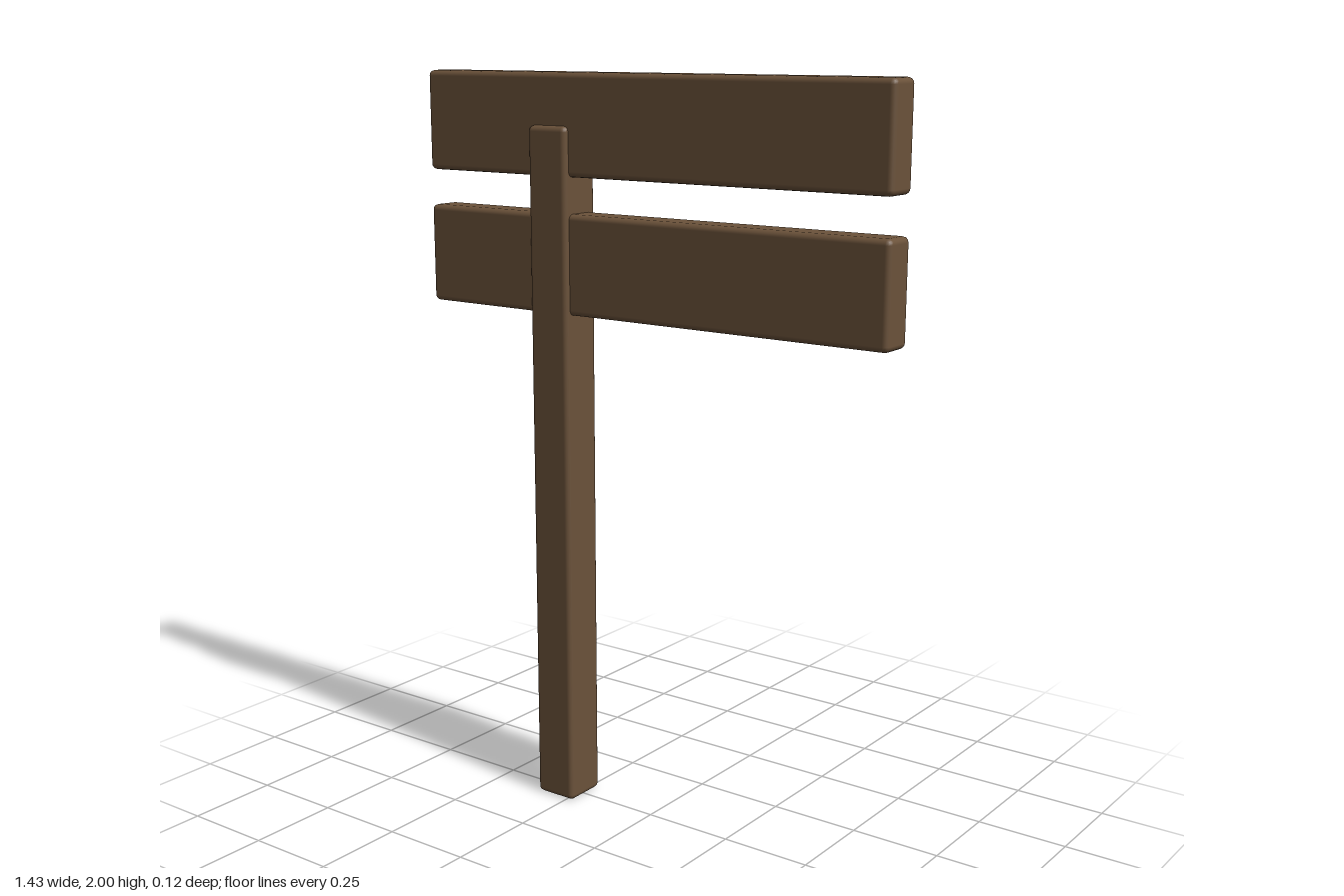
import * as THREE from 'three';
import { RoundedBoxGeometry } from 'three/addons/geometries/RoundedBoxGeometry.js';

export function createModel() {
  const group = new THREE.Group();
  group.name = 'signpost';
  const wood = new THREE.MeshStandardMaterial({ color: 0x6b523a });
  wood.name = 'brown wood';

  // Softly bevelled timber, placed by its centre
  function timber(name, width, height, depth, x, y) {
    const mesh = new THREE.Mesh(new RoundedBoxGeometry(width, height, depth, 2, 0.015), wood);
    mesh.name = name;
    mesh.position.set(x, y, 0);
    group.add(mesh);
  }

  // Upright post, set off-centre and thicker than the boards
  timber('post', 0.125, 1.865, 0.125, -0.29, 0.9325);

  // Two identical boards passing through the post
  timber('upperBoard', 1.43, 0.265, 0.095, 0, 1.8675);
  timber('lowerBoard', 1.43, 0.265, 0.095, 0, 1.5075);

  return group;
}
